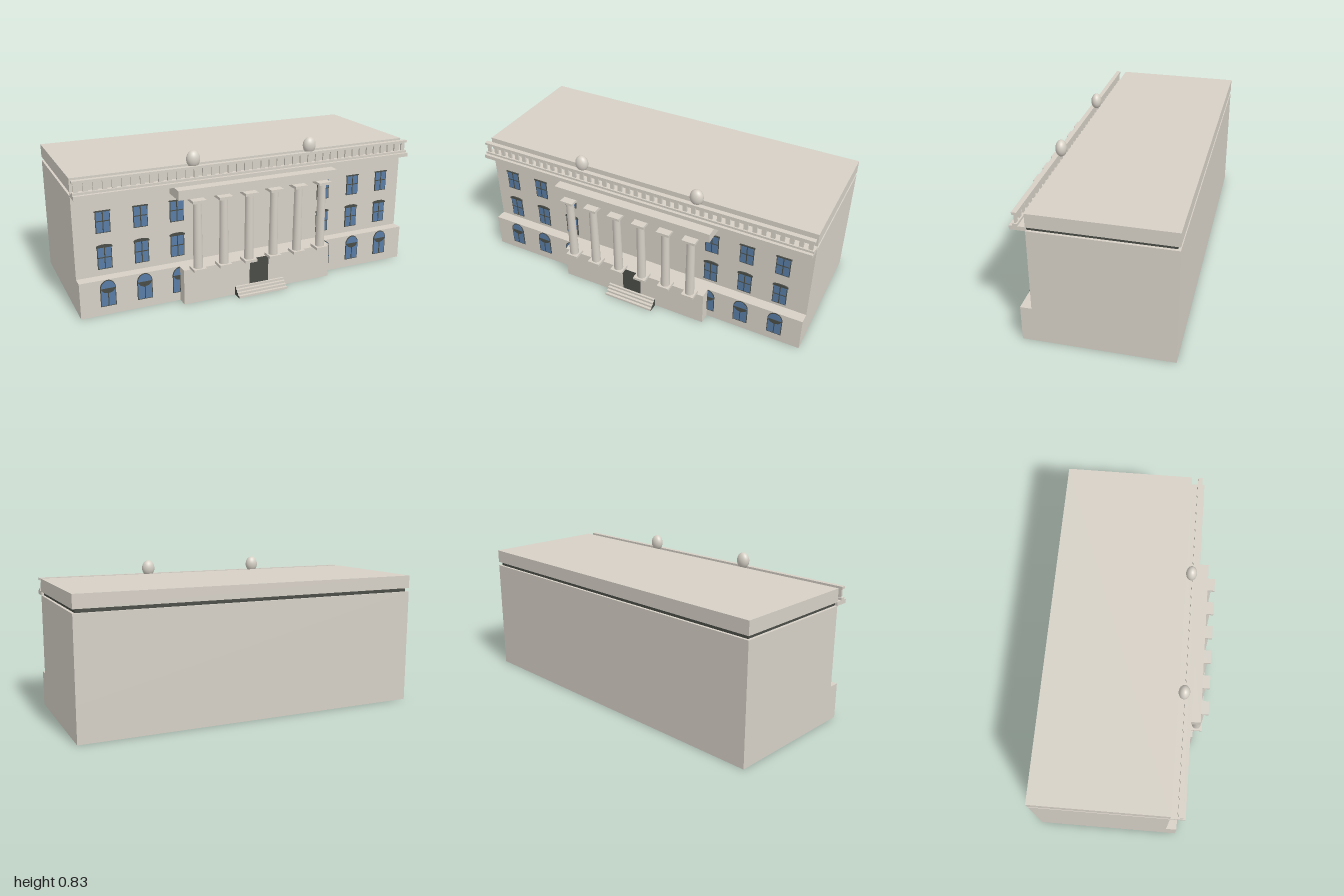
import * as THREE from 'three';

export function createModel() {
  const model = new THREE.Group();
  model.name = 'columnedBuilding';
  const mat = (name, color) => Object.assign(new THREE.MeshStandardMaterial({ color }), { name });
  const stone = mat('stone', 0xd6d0c6);
  const dark = mat('darkTrim', 0x494c46);
  const glass = mat('blueGlass', 0x587ca5);
  // Per-face materials, in the order +x, -x, +y, -y, +z, -z
  const darkUnderside = [stone, stone, stone, dark, stone, stone];
  const darkEnds = [dark, dark, stone, dark, stone, stone];

  const add = (name, geo, material, parent = model) => {
    const mesh = new THREE.Mesh(geo, material);
    mesh.name = name;
    parent.add(mesh);
    return mesh;
  };
  // Box given by its min and max on each axis
  const box = (name, x0, x1, y0, y1, z0, z1, material = stone, parent = model) => {
    const geo = new THREE.BoxGeometry(x1 - x0, y1 - y0, z1 - z0);
    geo.translate((x0 + x1) / 2, (y0 + y1) / 2, (z0 + z1) / 2);
    return add(name, geo, material, parent);
  };
  // Thin plate cut from a shape, its back at z
  const plate = (name, shape, z, depth, material, parent) => {
    const geo = new THREE.ExtrudeGeometry(shape, { depth, bevelEnabled: false, curveSegments: 12 });
    geo.translate(0, 0, z);
    return add(name, geo, material, parent);
  };

  // Main masses, with a recessed dark band below the parapet
  box('groundStorey', -1, 1, 0, 0.2, -0.46, 0.34, darkUnderside);
  box('upperStoreys', -1, 1, 0.2, 0.655, -0.46, 0.28);
  box('recessedBand', -0.985, 0.985, 0.655, 0.676, -0.445, 0.279, dark);
  box('parapet', -1, 1, 0.676, 0.75, -0.46, 0.28);
  box('cornice', -1, 1, 0.655, 0.677, 0.28, 0.36);

  // Balustrade along the front
  box('balustradeBottomRail', -1, 1, 0.677, 0.689, 0.317, 0.343);
  box('balustradeTopRail', -1, 1, 0.737, 0.75, 0.317, 0.343);
  for (let i = 0; i <= 40; i++) {
    const x = -0.98 + i * 0.049;
    box('baluster', x - 0.012, x + 0.012, 0.689, 0.737, 0.325, 0.335);
  }

  // Roof ornaments
  for (const side of [-1, 1]) {
    const ornament = add('roofOrnament', new THREE.SphereGeometry(1, 24, 16), stone);
    ornament.scale.set(0.038, 0.047, 0.031);
    ornament.position.set(side * 0.35, 0.782, 0.309);
  }

  // Portico: podium, door, columns and entablature
  box('podium', -0.45, 0.45, 0, 0.2, 0.34, 0.403, darkUnderside);
  box('door', -0.06, 0.055, 0.05, 0.2, 0.403, 0.404, dark);
  box('entablature', -0.475, 0.475, 0.6, 0.652, 0.28, 0.413);
  for (let i = 0; i < 6; i++) {
    const column = new THREE.Group();
    column.name = 'column';
    column.position.set(-0.375 + i * 0.15, 0, 0.42);
    model.add(column);
    box('columnBase', -0.036, 0.036, 0.2, 0.215, -0.036, 0.036, stone, column);
    const shaft = new THREE.CylinderGeometry(0.022, 0.026, 0.37, 20);
    add('columnShaft', shaft, stone, column).position.y = 0.4;
    box('columnCapital', -0.038, 0.038, 0.585, 0.6, -0.038, 0.038, stone, column);
  }

  // Steps, with dark ends
  for (let i = 0; i < 4; i++) {
    const y = i * 0.0125;
    box('step', -0.15, 0.15, y, y + 0.0125, 0.403, 0.46 - i * 0.015, darkEnds);
  }

  // Outline with straight sides and a curved top rising by `rise`
  const archShape = (w, y0, spring, rise) => {
    const shape = new THREE.Shape();
    shape.moveTo(-w, y0);
    shape.lineTo(w, y0);
    shape.lineTo(w, spring);
    shape.absellipse(0, spring, w, rise, 0, Math.PI, false, 0);
    shape.lineTo(-w, y0);
    return shape;
  };
  const bars = (w, y0, y1, yBar, z, parent) => {
    box('mullion', -0.0025, 0.0025, y0, y1, z, z + 0.002, dark, parent);
    box('transom', -w, w, yBar - 0.0025, yBar + 0.0025, z, z + 0.002, dark, parent);
  };

  // Three rows of windows on each wing
  for (const x of [-0.85, -0.65, -0.45, 0.45, 0.65, 0.85]) {
    const bay = new THREE.Group();
    bay.name = 'windowBay';
    bay.position.x = x;
    model.add(bay);

    // Top row: square heads
    box('topFrame', -0.039, 0.039, 0.45, 0.568, 0.31, 0.314, dark, bay);
    box('topLintel', -0.043, 0.043, 0.565, 0.571, 0.31, 0.317, dark, bay);
    box('topGlass', -0.035, 0.035, 0.454, 0.565, 0.314, 0.315, glass, bay);
    bars(0.035, 0.454, 0.565, 0.515, 0.315, bay);

    // Middle row: shallow curved heads
    box('middleFrame', -0.039, 0.039, 0.25, 0.372, 0.31, 0.314, dark, bay);
    plate('middleHood', archShape(0.043, 0.37, 0.375, 0.011), 0.31, 0.007, dark, bay);
    box('middleGlass', -0.035, 0.035, 0.254, 0.37, 0.314, 0.315, glass, bay);
    bars(0.035, 0.254, 0.37, 0.315, 0.315, bay);

    // Ground row: round heads with a dark bowl below the springing
    plate('archFrame', archShape(0.042, 0.05, 0.152, 0.046), 0.34, 0.004, dark, bay);
    plate('archGlass', archShape(0.038, 0.054, 0.152, 0.042), 0.344, 0.001, glass, bay);
    bars(0.038, 0.054, 0.15, 0.15, 0.345, bay);
    const bowl = new THREE.Shape();
    bowl.absellipse(0, 0.15, 0.036, 0.025, Math.PI, Math.PI * 2, false, 0);
    plate('archBowl', bowl, 0.345, 0.0015, dark, bay);
  }
  return model;
}
